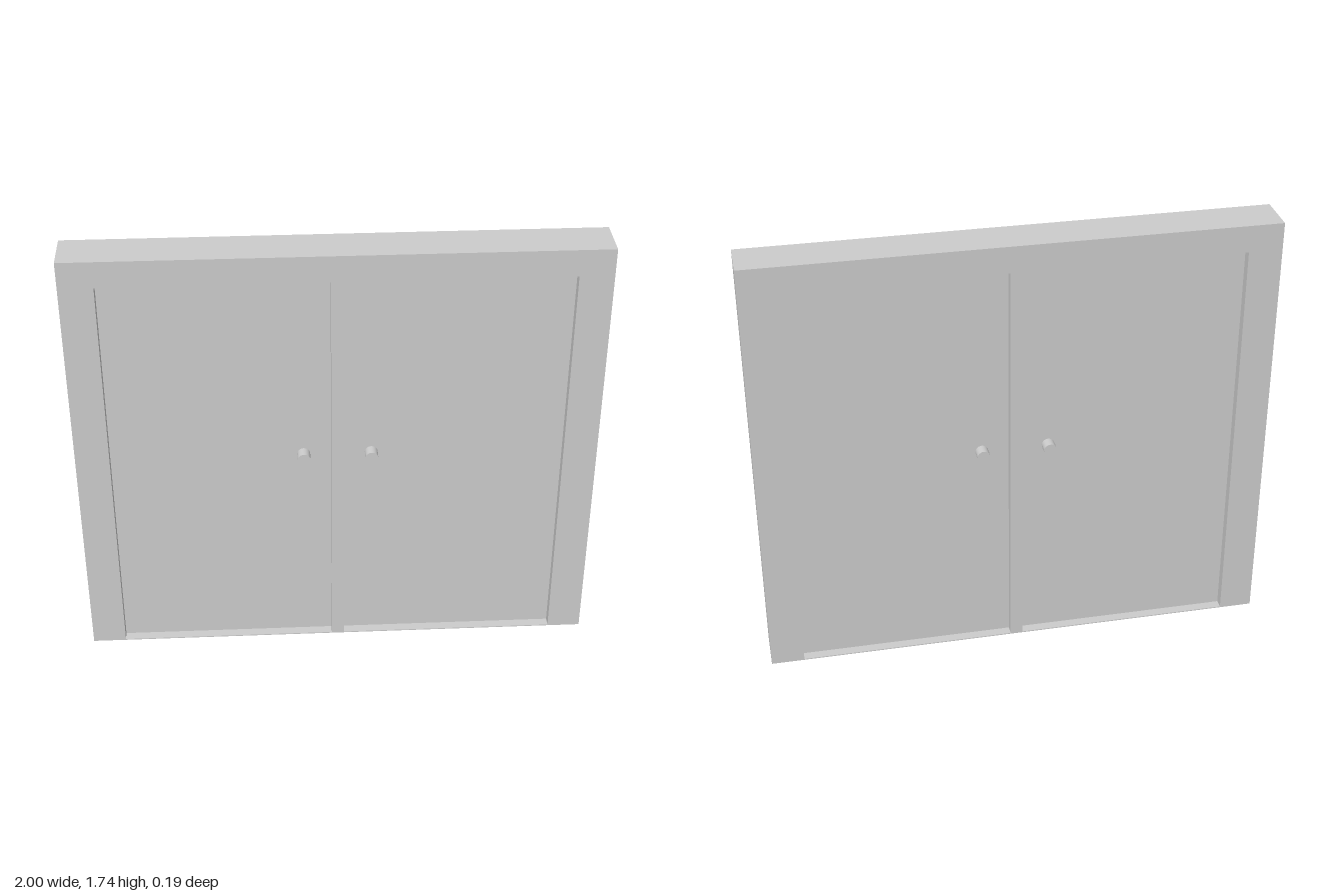
import * as THREE from 'three';

const W = 2, H = 1.74, D = 0.175;            // overall frame
const IN = 0.025, OUT = 0.87, TOP = 1.635;   // door openings
const SILL = 0.004, DOOR_D = 0.1;
const KNOB_X = 0.13, KNOB_Y = 0.873, KNOB_R = 0.025, KNOB_END = 0.095;

const material = new THREE.MeshStandardMaterial({ color: 0xcccccc });

function rect(Type, x0, y0, x1, y1) {
  const r = new Type();
  r.moveTo(x0, y0);
  r.lineTo(x1, y0);
  r.lineTo(x1, y1);
  r.lineTo(x0, y1);
  r.closePath();
  return r;
}

function part(name, geometry, x = 0, y = 0, z = 0) {
  const mesh = new THREE.Mesh(geometry, material);
  mesh.name = name;
  mesh.position.set(x, y, z);
  return mesh;
}

export function createModel() {
  const model = new THREE.Group();
  model.name = 'doubleDoor';

  // Frame with two openings, a centre post and a thin threshold
  const outline = rect(THREE.Shape, -W / 2, 0, W / 2, H);
  outline.holes.push(
    rect(THREE.Path, -OUT, SILL, -IN, TOP),
    rect(THREE.Path, IN, SILL, OUT, TOP)
  );
  const frame = new THREE.ExtrudeGeometry(outline, { depth: D, bevelEnabled: false });
  model.add(part('frame', frame, 0, 0, -D / 2));

  // Recessed door leaves, each with a knob on both faces
  const leaf = new THREE.BoxGeometry(OUT - IN, TOP - SILL, DOOR_D);
  const knobLength = KNOB_END - DOOR_D / 2;
  const knob = new THREE.CylinderGeometry(KNOB_R, KNOB_R, knobLength, 24).rotateX(Math.PI / 2);
  for (const [side, s] of [['left', 1], ['right', -1]]) {
    const door = new THREE.Group();
    door.name = side + 'Door';
    door.add(part(side + 'Leaf', leaf, s * (IN + OUT) / 2, (TOP + SILL) / 2, 0));
    for (const [face, f] of [['Front', 1], ['Back', -1]]) {
      door.add(part(side + face + 'Knob', knob, s * KNOB_X, KNOB_Y, f * (DOOR_D + knobLength) / 2));
    }
    model.add(door);
  }
  return model;
}
